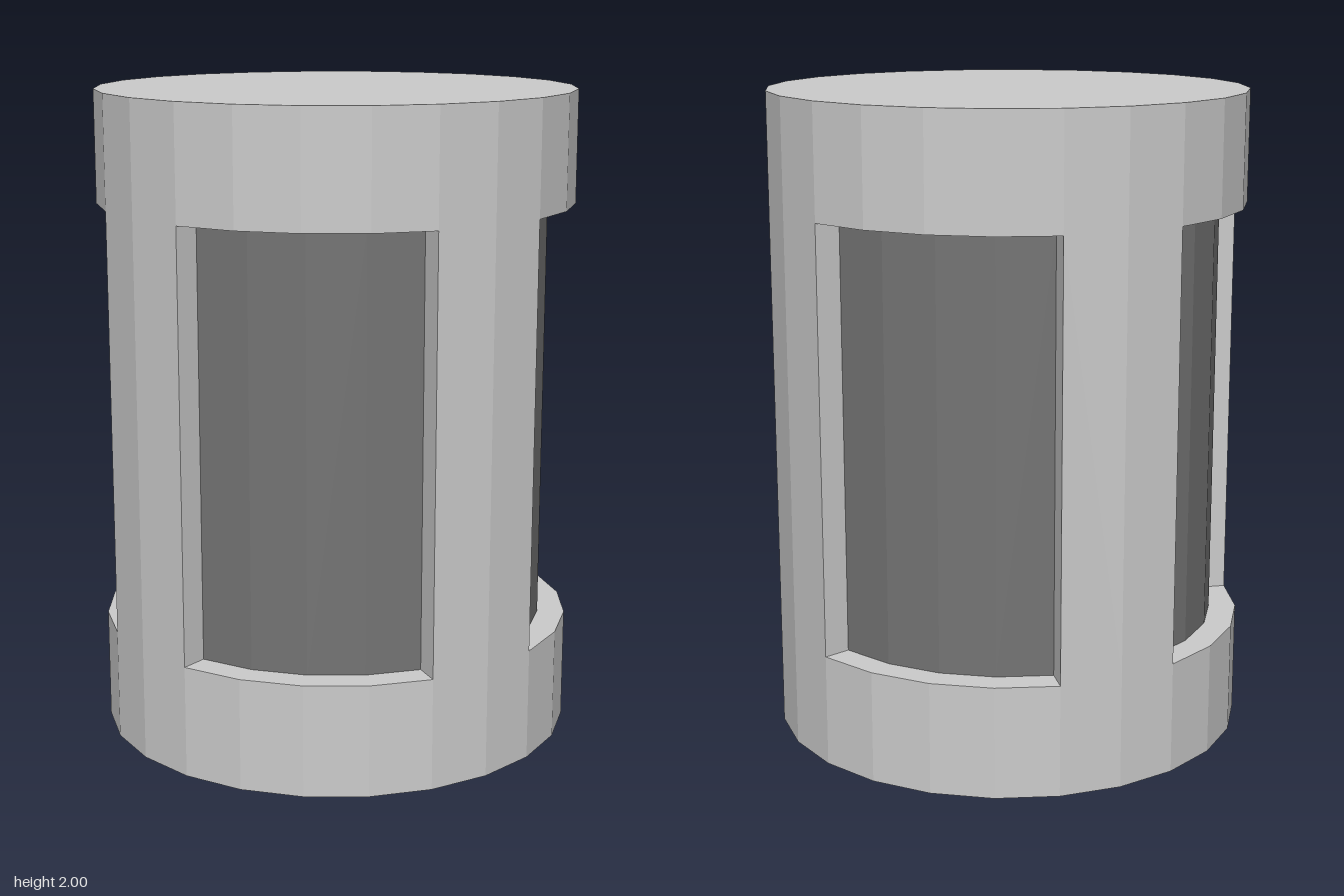
import * as THREE from 'three';

const SIDES = 24, OUTER = 0.735, INNER = 0.65;
const HEIGHT = 2, BAND = 0.345;

export function createModel() {
  const model = new THREE.Group();
  model.name = 'cagedCylinder';
  const shellMaterial = new THREE.MeshStandardMaterial({ color: 0xcccccc, flatShading: true });
  const coreMaterial = new THREE.MeshStandardMaterial({ color: 0x747474, flatShading: true });

  function addCylinder(name, radius, bottom, top, material, open = false) {
    const geometry = new THREE.CylinderGeometry(radius, radius, top - bottom, SIDES, 1, open);
    const mesh = new THREE.Mesh(geometry, material);
    mesh.name = name;
    mesh.position.y = (bottom + top) / 2;
    model.add(mesh);
  }

  // Solid end bands and the dark core seen through the windows
  addCylinder('bottomBand', OUTER, 0, BAND, shellMaterial);
  addCylinder('topBand', OUTER, HEIGHT - BAND, HEIGHT, shellMaterial);
  addCylinder('core', INNER, BAND, HEIGHT - BAND, coreMaterial, true);

  // Post cross-section: two facets of the shell with radial side walls
  const at = (radius, degrees) => {
    const a = THREE.MathUtils.degToRad(degrees);
    return new THREE.Vector2(radius * Math.cos(a), radius * Math.sin(a));
  };
  const section = new THREE.Shape([
    at(OUTER, 30), at(OUTER, 45), at(OUTER, 60),
    at(INNER - 0.03, 60), at(INNER - 0.03, 45), at(INNER - 0.03, 30),
  ]);
  const postGeometry = new THREE.ExtrudeGeometry(section, {
    depth: HEIGHT - 2 * BAND, bevelEnabled: false,
  });
  postGeometry.rotateX(-Math.PI / 2);

  // Four posts separating four windows
  const posts = new THREE.Group();
  posts.name = 'posts';
  for (let i = 0; i < 4; i++) {
    const post = new THREE.Mesh(postGeometry, shellMaterial);
    post.name = `post${i + 1}`;
    post.position.y = BAND;
    post.rotation.y = i * Math.PI / 2;
    posts.add(post);
  }
  model.add(posts);

  return model;
}
